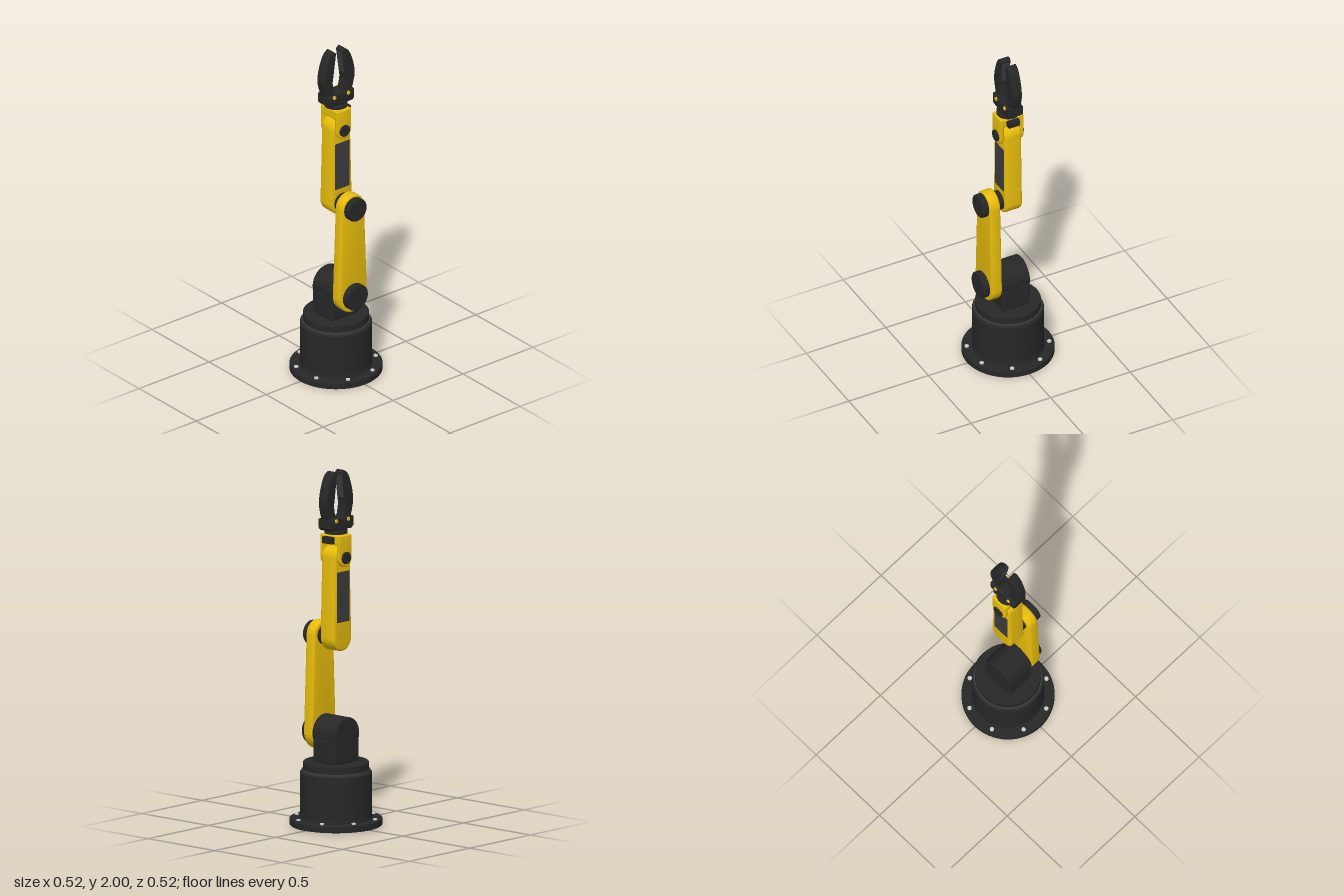
import * as THREE from 'three';
import { toCreasedNormals } from 'three/addons/utils/BufferGeometryUtils.js';
import { RoundedBoxGeometry } from 'three/addons/geometries/RoundedBoxGeometry.js';

const paint = (color) => new THREE.MeshStandardMaterial({ color });
const yellow = paint(0xe8bd0c), dark = paint(0x272727), panelGrey = paint(0x3c3c3f), steel = paint(0xc4c4c4);

export function createModel() {
  const model = new THREE.Group();

  const add = (name, geometry, material, x = 0, y = 0, z = 0) => {
    const mesh = new THREE.Mesh(geometry, material);
    mesh.name = name;
    mesh.position.set(x, y, z);
    model.add(mesh);
    return mesh;
  };

  // Turned solid around y, from [radius, y] points
  const turned = (points) => toCreasedNormals(
    new THREE.LatheGeometry(points.map(([r, y]) => new THREE.Vector2(r, y)), 64).toNonIndexed(), 0.5);

  // Slab of a shape between z0 and z1, with bevelled edges that stay inside the outline
  const slab = (shape, z0, z1, bevel) => {
    const g = new THREE.ExtrudeGeometry(shape, {
      depth: z1 - z0 - 2 * bevel, bevelThickness: bevel, bevelSize: bevel,
      bevelOffset: -bevel, bevelSegments: 3, curveSegments: 24,
    });
    g.translate(0, 0, z0 + bevel);
    return toCreasedNormals(g, 0.6);
  };

  // Two circles joined by their tangents
  const linkShape = (y0, r0, y1, r1) => {
    const t = Math.asin((r0 - r1) / (y1 - y0));
    const s = new THREE.Shape();
    s.absarc(0, y1, r1, t, Math.PI - t, false);
    s.absarc(0, y0, r0, Math.PI - t, 2 * Math.PI + t, false);
    s.closePath();
    return s;
  };

  // Bevelled disc along z between z0 and z1
  const disc = (name, r, y, z0, z1, material, x = 0, b = 0.005) => {
    const h = (z1 - z0) / 2;
    const g = turned([[0, -h], [r - b, -h], [r, -h + b], [r, h - b], [r - b, h], [0, h]]);
    g.rotateX(Math.PI / 2);
    return add(name, g, material, x, y, (z0 + z1) / 2);
  };

  // Base with bolted flange and turntable
  add('baseFlange', turned([[0, 0], [0.254, 0], [0.258, 0.004], [0.258, 0.036], [0.254, 0.04], [0, 0.04]]), dark);
  add('basePedestal', turned([[0, 0.03], [0.203, 0.03], [0.203, 0.05], [0.2, 0.053], [0.2, 0.297], [0.193, 0.304], [0, 0.304]]), dark);
  add('turntableSeal', turned([[0, 0.3], [0.19, 0.3], [0.19, 0.315], [0, 0.315]]), panelGrey);
  add('turntable', turned([[0, 0.314], [0.183, 0.314], [0.183, 0.354], [0.179, 0.358], [0, 0.358]]), dark);
  for (let i = 0; i < 8; i++) {
    const a = (i + 0.5) * Math.PI / 4;
    add('flangeBolt', new THREE.CylinderGeometry(0.012, 0.012, 0.016, 16), steel,
      0.23 * Math.cos(a), 0.04, 0.23 * Math.sin(a));
  }

  // Shoulder housing
  add('shoulderBlock', new RoundedBoxGeometry(0.2, 0.145, 0.174, 4, 0.015), dark, 0, 0.425, 0);
  disc('shoulderDrum', 0.1, 0.515, -0.087, 0.09, dark);

  // Upper arm with its joint caps
  add('upperArm', slab(linkShape(0.515, 0.1, 1.062, 0.079), 0.088, 0.154, 0.01), yellow);
  disc('shoulderCap', 0.077, 0.515, 0.15, 0.19, dark);
  disc('elbowCap', 0.068, 1.062, 0.15, 0.19, dark);
  disc('elbowJoint', 0.055, 1.062, 0.04, 0.095, dark);

  // Forearm with a cover panel on each face
  add('forearm', slab(linkShape(1.06, 0.075, 1.515, 0.063), -0.052, 0.053, 0.012), yellow);
  for (const s of [1, -1])
    add('forearmPanel', new RoundedBoxGeometry(0.1, 0.285, 0.012, 2, 0.004), panelGrey, 0, 1.293, s * 0.052);

  // Wrist fork, pivot caps and side sensor
  const cheek = new THREE.Shape();
  cheek.moveTo(0.052, 1.64);
  cheek.lineTo(-0.052, 1.64);
  cheek.absarc(0, 1.515, 0.052, Math.PI, 2 * Math.PI, false);
  cheek.closePath();
  for (const s of [1, -1]) {
    const mid = s * 0.0625;
    add('wristCheek', slab(cheek, mid - 0.0105, mid + 0.0105, 0.006), yellow);
    disc('wristPivotCap', 0.034, 1.515, s * 0.073 - 0.011, s * 0.073 + 0.011, dark, 0, 0.003);
  }
  add('wristBridge', new RoundedBoxGeometry(0.104, 0.055, 0.145, 3, 0.008), yellow, 0, 1.615, 0);
  add('wristSensor', new RoundedBoxGeometry(0.035, 0.038, 0.072, 2, 0.004), dark, 0.062, 1.615, 0);

  // Gripper mount and palm
  add('gripperFlange', turned([[0, 1.635], [0.045, 1.635], [0.045, 1.648], [0.065, 1.648], [0.065, 1.665],
    [0.052, 1.667], [0.052, 1.685], [0, 1.685]]), dark);
  const palm = new THREE.Shape();
  [[-0.082, 1.67], [0.082, 1.67], [0.096, 1.684], [0.096, 1.737], [-0.096, 1.737], [-0.096, 1.684]]
    .forEach(([x, y], i) => i ? palm.lineTo(x, y) : palm.moveTo(x, y));
  palm.closePath();
  add('gripperPalm', slab(palm, -0.046, 0.046, 0.006), dark);

  // Mirrored curved fingers, grip pads and pins
  for (const s of [1, -1]) {
    const p = (x, y) => new THREE.Vector2(s * x, y);
    const finger = new THREE.Shape();
    finger.moveTo(s * 0.028, 1.72);
    finger.lineTo(s * 0.086, 1.72);
    finger.splineThru([p(0.102, 1.77), p(0.112, 1.825), p(0.104, 1.885), p(0.085, 1.945), p(0.065, 1.98), p(0.038, 2)]);
    finger.lineTo(s * 0.021, 1.985);
    finger.splineThru([p(0.03, 1.92), p(0.038, 1.86), p(0.045, 1.81), p(0.04, 1.77), p(0.028, 1.72)]);
    add('finger', slab(finger, -0.029, 0.029, 0.004), dark);

    const pad = new THREE.Shape([p(0.019, 1.972), p(0.035, 1.975), p(0.05, 1.845), p(0.036, 1.845)]);
    add('gripPad', slab(pad, -0.022, 0.022, 0.002), panelGrey);

    for (const side of [1, -1])
      disc('fingerPin', 0.011, 1.725, side * 0.047 - 0.006, side * 0.047 + 0.006, yellow, s * 0.05, 0.002);
  }
  return model;
}
